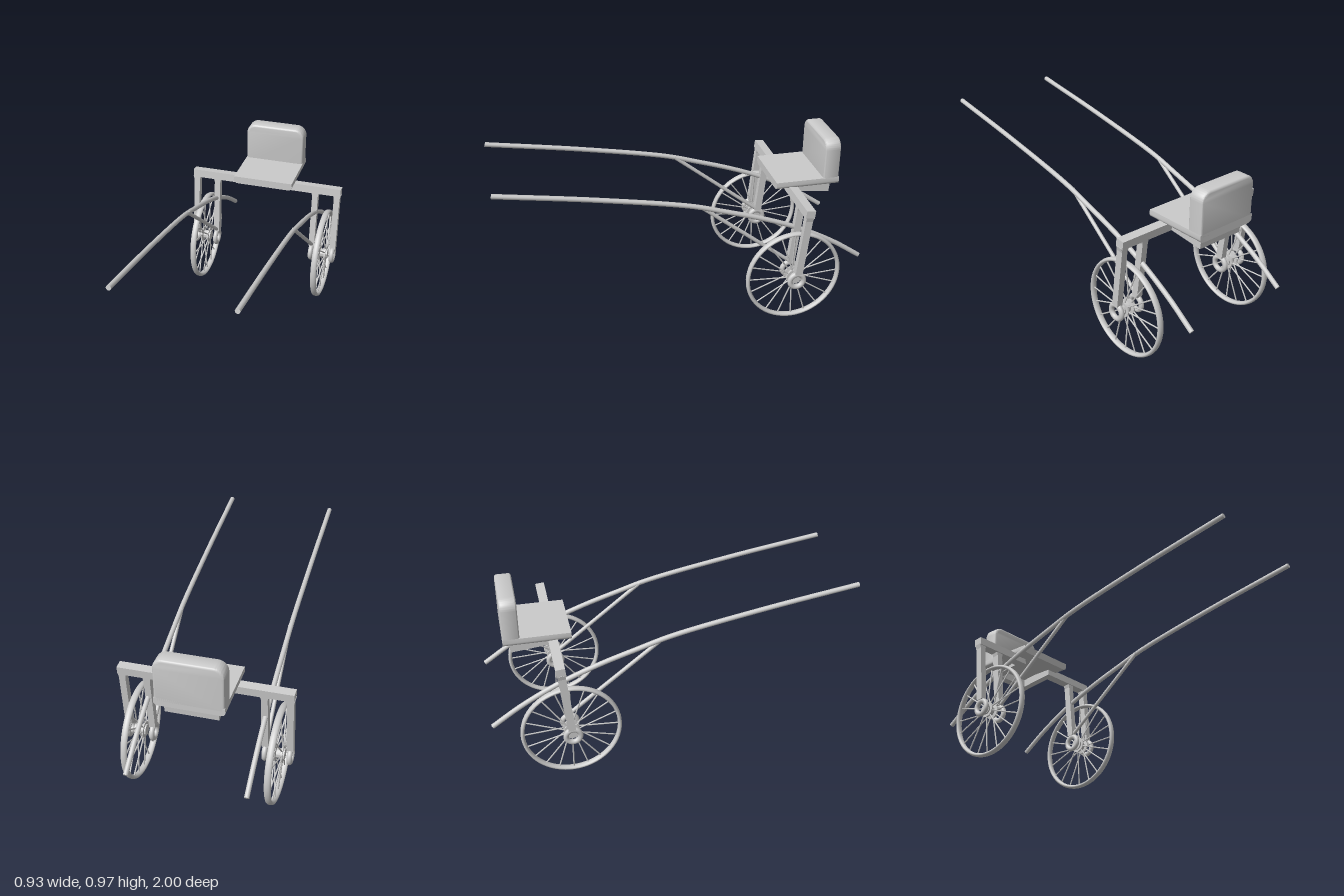
import * as THREE from 'three';
import { toCreasedNormals } from 'three/addons/utils/BufferGeometryUtils.js';

const grey = new THREE.MeshStandardMaterial({ color: 0xcccccc });
const AXLE_Y = 0.278, AXLE_Z = -0.583;

function add(parent, name, geometry, x = 0, y = 0, z = 0) {
  const mesh = new THREE.Mesh(geometry, grey);
  mesh.name = name;
  mesh.position.set(x, y, z);
  parent.add(mesh);
  return mesh;
}

function box(parent, name, x0, x1, y0, y1, z0, z1) {
  return add(parent, name, new THREE.BoxGeometry(x1 - x0, y1 - y0, z1 - z0),
    (x0 + x1) / 2, (y0 + y1) / 2, (z0 + z1) / 2);
}

// Straight round bar between two points
function rod(parent, name, a, b, radius, sides = 8) {
  const dir = b.clone().sub(a);
  const mesh = add(parent, name, new THREE.CylinderGeometry(radius, radius, dir.length(), sides));
  mesh.position.copy(a).add(b).multiplyScalar(0.5);
  mesh.quaternion.setFromUnitVectors(new THREE.Vector3(0, 1, 0), dir.normalize());
  return mesh;
}

// Wheel with its axis along x
function makeWheel() {
  const wheel = new THREE.Group();
  wheel.name = 'wheel';
  const rim = add(wheel, 'rim', new THREE.TorusGeometry(0.26, 0.011, 12, 64));
  rim.rotation.y = Math.PI / 2;
  rim.scale.z = 1.65;

  // Spool-shaped hub
  const profile = [[0, -0.032], [0.03, -0.032], [0.03, -0.024], [0.045, -0.024], [0.045, -0.015],
    [0.027, -0.012], [0.027, 0.012], [0.045, 0.015], [0.045, 0.024], [0.03, 0.024], [0.03, 0.032], [0, 0.032]]
    .map(([r, h]) => new THREE.Vector2(r, h));
  const hub = add(wheel, 'hub', toCreasedNormals(new THREE.LatheGeometry(profile, 28), 0.6));
  hub.rotation.z = -Math.PI / 2;

  // Spokes alternate between the two hub flanges
  const count = 20;
  for (let i = 0; i < count; i++) {
    const a = (i / count) * Math.PI * 2;
    const x = i % 2 ? 0.019 : -0.019;
    rod(wheel, 'spoke',
      new THREE.Vector3(x, Math.cos(a) * 0.036, Math.sin(a) * 0.036),
      new THREE.Vector3(0, Math.cos(a) * 0.256, Math.sin(a) * 0.256), 0.0042, 6);
  }
  return wheel;
}

// Curved shaft with closed ends
function makeShaft(x) {
  const shaft = new THREE.Group();
  shaft.name = 'shaft';
  const path = new THREE.CatmullRomCurve3([[0.922, 1], [0.837, 0.47], [0.742, -0.02], [0.688, -0.2],
    [0.62, -0.41], [0.54, -0.61], [0.425, -0.825], [0.313, -0.99]]
    .map(([y, z]) => new THREE.Vector3(x, y, z)));
  add(shaft, 'shaftPole', new THREE.TubeGeometry(path, 60, 0.0135, 12));
  for (const t of [0, 1]) {
    const cap = add(shaft, 'shaftEnd', new THREE.CircleGeometry(0.0135, 12));
    const p = path.getPoint(t);
    cap.position.copy(p);
    cap.lookAt(p.clone().addScaledVector(path.getTangent(t), t ? 1 : -1));
  }
  return shaft;
}

// Leg of the wheel fork: flares under the crossbar
function makeLeg(frame, name, x) {
  const s = new THREE.Shape();
  const w = 0.0175;
  s.moveTo(-w, 0.045);
  s.lineTo(w, 0.045);
  s.lineTo(w, 0.375);
  s.lineTo(w + 0.006, 0.4);
  s.lineTo(-w - 0.006, 0.4);
  s.lineTo(-w, 0.375);
  add(frame, name, new THREE.ExtrudeGeometry(s, { depth: 0.04, bevelEnabled: false }), x, 0, -0.02);
  const eye = add(frame, 'axleEye', new THREE.TorusGeometry(0.039, 0.0145, 12, 32), x);
  eye.rotation.y = Math.PI / 2;
}

function makeSeat() {
  const seat = new THREE.Group();
  seat.name = 'seat';

  // Cushion, rounded along its lower sides
  const c = new THREE.Shape();
  c.moveTo(-0.178, 0.751);
  c.lineTo(-0.18, 0.728);
  c.quadraticCurveTo(-0.178, 0.707, -0.15, 0.707);
  c.lineTo(0.15, 0.707);
  c.quadraticCurveTo(0.178, 0.707, 0.18, 0.728);
  c.lineTo(0.178, 0.751);
  const cushion = new THREE.ExtrudeGeometry(c, { depth: 0.36, bevelEnabled: false, curveSegments: 6 });
  add(seat, 'seatCushion', toCreasedNormals(cushion, 0.6), 0, 0, -0.89);

  // Backrest with rounded upper corners and softened edges
  const bevel = 0.014, w = 0.178 - bevel, top = 0.973 - bevel, r = 0.042;
  const b = new THREE.Shape();
  b.moveTo(-w, 0.735);
  b.lineTo(w, 0.735);
  b.lineTo(w, top - r);
  b.absarc(w - r, top - r, r, 0, Math.PI / 2);
  b.lineTo(-w + r, top);
  b.absarc(-w + r, top - r, r, Math.PI / 2, Math.PI);
  const back = new THREE.ExtrudeGeometry(b, {
    depth: 0.09 - 2 * bevel, bevelThickness: bevel, bevelSize: bevel, bevelSegments: 4, curveSegments: 8,
  });
  add(seat, 'backrest', toCreasedNormals(back, 0.6), 0, 0, -0.89 + bevel);
  return seat;
}

export function createModel() {
  const cart = new THREE.Group();
  cart.name = 'cart';

  // Frame leans back about the axle
  const frame = new THREE.Group();
  frame.name = 'frame';
  frame.position.set(0, AXLE_Y, AXLE_Z);
  frame.rotation.x = -0.105;
  cart.add(frame);

  // Rear bar of the seat support
  box(frame, 'supportRearBar', -0.138, 0.138, 0.395, 0.441, -0.228, -0.185);

  for (const side of [1, -1]) {
    const inner = side * 0.098, outer = side * 0.46, arm = side * 0.138;
    box(frame, 'crossbar', Math.min(inner, outer), Math.max(inner, outer), 0.395, 0.441, -0.025, 0.025);
    box(frame, 'supportArm', Math.min(inner, arm), Math.max(inner, arm), 0.395, 0.441, -0.19, -0.02);
    makeLeg(frame, 'outerLeg', side * 0.439);
    makeLeg(frame, 'innerLeg', side * 0.307);

    const wheel = makeWheel();
    wheel.position.set(side * 0.378, AXLE_Y, AXLE_Z);
    cart.add(wheel);

    cart.add(makeShaft(side * 0.311));
    rod(cart, 'strut', new THREE.Vector3(side * 0.307, 0.733, -0.065),
      new THREE.Vector3(side * 0.307, 0.325, -0.585), 0.011, 10);
  }

  cart.add(makeSeat());
  return cart;
}
